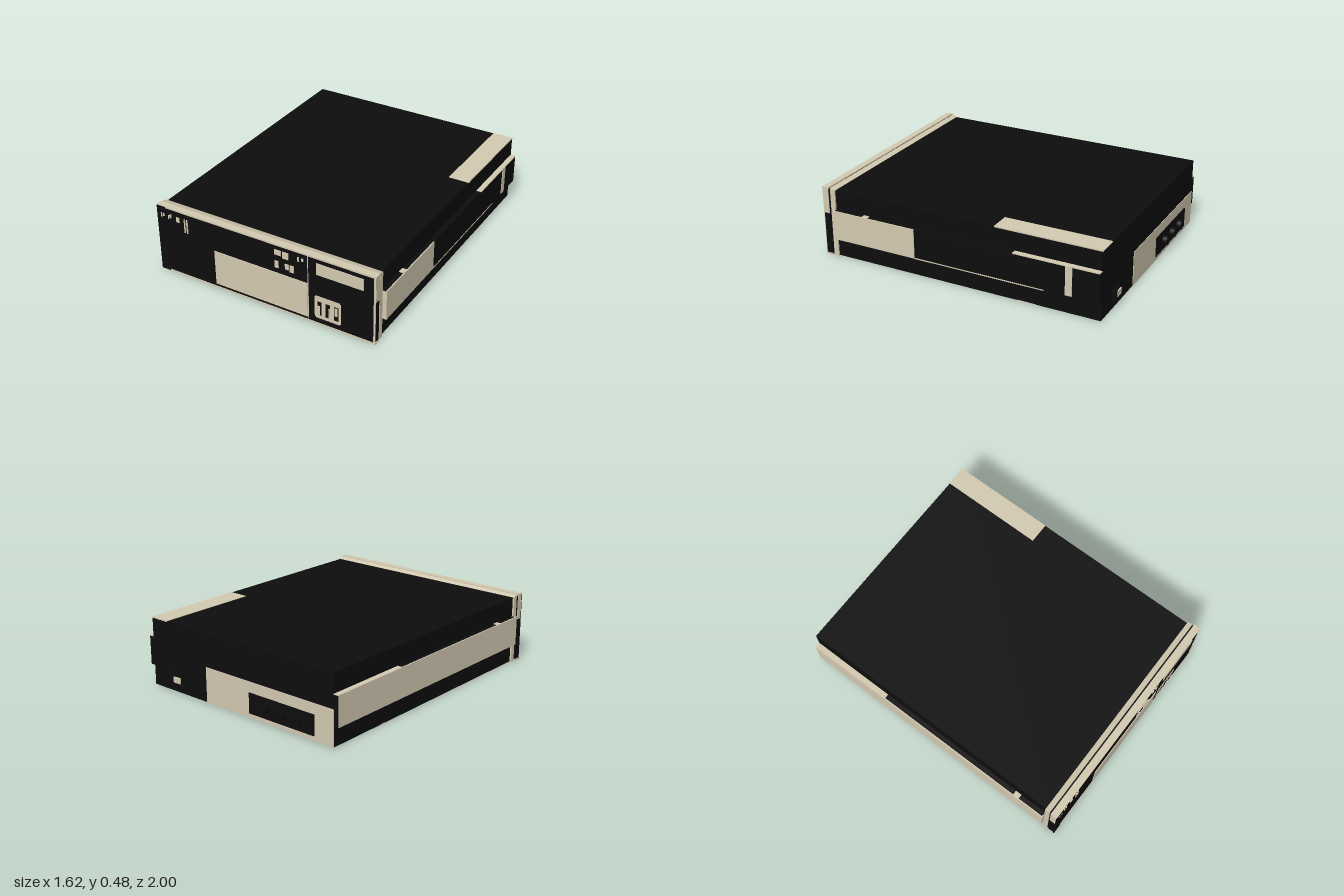
import * as THREE from 'three';

export function createModel() {
  const root = new THREE.Group();
  root.name = 'stereoComponent';
  const black = new THREE.MeshStandardMaterial({ color: 0x0d0d0d });
  black.name = 'black';
  const cream = new THREE.MeshStandardMaterial({ color: 0xd4cab2 });
  cream.name = 'cream';

  const add = (name, geometry, material, parent = root) => {
    const mesh = new THREE.Mesh(geometry, material);
    mesh.name = name;
    parent.add(mesh);
    return mesh;
  };
  // Box given by its limits on each axis
  const box = (name, mat, x0, x1, y0, y1, z0, z1, parent = root) => {
    const mesh = add(name, new THREE.BoxGeometry(x1 - x0, y1 - y0, z1 - z0), mat, parent);
    mesh.position.set((x0 + x1) / 2, (y0 + y1) / 2, (z0 + z1) / 2);
    return mesh;
  };

  // Chassis with its pale top and bottom patches
  box('chassis', black, -0.77, 0.77, 0.003, 0.465, -0.96, 0.91);
  box('topPatch', cream, 0.63, 0.771, 0.46, 0.468, -0.961, -0.25);
  box('bottomBand', cream, -0.77, 0.77, 0, 0.006, -0.53, -0.41);

  // Side rails
  for (const side of [-1, 1]) {
    const rail = new THREE.Group();
    rail.name = side > 0 ? 'leftRail' : 'rightRail';
    root.add(rail);
    const part = (name, mat, a, b, y0, y1, z0, z1) =>
      box(name, mat, Math.min(side * a, side * b), Math.max(side * a, side * b), y0, y1, z0, z1, rail);
    part('railBody', black, 0.76, 0.804, 0.135, 0.333, -0.96, 0.905);
    part('railFrontEnd', cream, 0.765, 0.804, 0.135, 0.333, 0.9, 0.908);
    part('railRearTop', cream, 0.765, 0.806, 0.33, 0.336, -0.96, side > 0 ? -0.39 : -0.37);
    const mark = side > 0 ? 0.65 : 0.675;
    part('railTopMark', cream, 0.765, 0.806, 0.33, 0.336, mark, mark + 0.043);
    if (side > 0) {
      part('railFrontPanel', cream, 0.8, 0.808, 0.135, 0.335, 0.3, 0.908);
      part('railRearStripe', cream, 0.8, 0.808, 0.14, 0.335, -0.785, -0.74);
      part('railLowerEdge', cream, 0.798, 0.806, 0.132, 0.139, -0.6, 0.3);
    } else {
      part('railPanel', cream, 0.8, 0.808, 0.135, 0.335, -0.958, 0.908);
    }
  }

  // Sloped collar behind the front panel
  const profile = new THREE.Shape([
    [-0.905, 0.002], [-0.94, 0.002], [-0.94, 0.478], [-0.905, 0.466],
  ].map(([x, y]) => new THREE.Vector2(x, y)));
  const collar = new THREE.ExtrudeGeometry(profile, { depth: 1.56, bevelEnabled: false });
  collar.rotateY(Math.PI / 2).translate(-0.78, 0, 0);
  add('collar', collar, cream);
  box('panelGap', black, -0.775, 0.775, 0.006, 0.472, 0.935, 0.955);

  // Front panel
  const front = new THREE.Group();
  front.name = 'frontPanel';
  root.add(front);
  const face = (name, mat, x0, x1, y0, y1, z1 = 0.999) => box(name, mat, x0, x1, y0, y1, 0.992, z1, front);
  box('panelBody', black, -0.782, 0.782, 0.01, 0.47, 0.95, 0.994, front);
  box('topTrim', cream, -0.785, 0.785, 0.469, 0.48, 0.95, 0.997, front);
  box('bottomTrim', cream, -0.785, 0.785, 0, 0.011, 0.95, 0.997, front);
  for (const s of [-1, 1]) {
    box('sideTrim', cream, s > 0 ? 0.78 : -0.785, s > 0 ? 0.785 : -0.78, 0.3, 0.472, 0.951, 0.993, front);
  }
  face('edgeTrim', cream, 0.771, 0.784, 0.005, 0.475, 0.996);
  face('cornerPlate', black, -0.785, -0.72, 0.002, 0.478, 0.998);
  face('divider', cream, 0.323, 0.328, 0.015, 0.468, 0.996);
  face('discDoor', cream, -0.355, 0.322, 0.03, 0.274);
  face('display', cream, 0.385, 0.704, 0.36, 0.44);

  // Rounded switch plate with three slots
  face('switchPlate', cream, 0.37, 0.552, 0.055, 0.2, 0.997);
  face('switchPlateEnds', cream, 0.377, 0.545, 0.047, 0.207, 0.9965);
  for (const x of [0.39, 0.448, 0.506]) face('switchSlot', black, x, x + 0.029, 0.073, 0.17, 0.9985);
  face('switchLever', cream, 0.393, 0.408, 0.073, 0.14, 1);
  face('switchLever', cream, 0.467, 0.477, 0.073, 0.145, 1);
  face('switchLever', cream, 0.511, 0.53, 0.105, 0.165, 1);

  // Small keys and marks: x0, x1, y0, y1
  for (const [x0, x1, y0, y1] of [
    [0.093, 0.14, 0.405, 0.44], [0.15, 0.193, 0.395, 0.44],
    [0.093, 0.12, 0.313, 0.36], [0.167, 0.193, 0.322, 0.36], [0.2, 0.228, 0.313, 0.36],
    [0.255, 0.267, 0.41, 0.44], [0.283, 0.297, 0.42, 0.438],
    [-0.755, -0.745, 0.4, 0.432], [-0.738, -0.726, 0.41, 0.432],
    [-0.7, -0.692, 0.4, 0.425], [-0.685, -0.675, 0.41, 0.435], [-0.636, -0.613, 0.395, 0.43],
    [-0.577, -0.569, 0.335, 0.432], [-0.559, -0.55, 0.335, 0.432],
  ]) face('key', cream, x0, x1, y0, y1, 1);

  // Rear plate, sockets and power inlet
  const rear = new THREE.Group();
  rear.name = 'rearPanel';
  root.add(rear);
  box('rearPlate', cream, -0.77, 0.28, 0.004, 0.24, -0.964, -0.957, rear);
  box('socketPlate', black, -0.625, -0.1, 0.035, 0.17, -0.971, -0.96, rear);
  for (const x of [-0.5, -0.367, -0.232]) {
    const socket = add('socket', new THREE.CylinderGeometry(0.033, 0.033, 0.04, 20), black, rear);
    socket.rotation.x = Math.PI / 2;
    socket.position.set(x, 0.103, -0.98);
  }
  const wedge = new THREE.Shape([
    [0.5, 0.955], [0.61, 0.955], [0.61, 0.985], [0.5, 0.965],
  ].map(([x, y]) => new THREE.Vector2(x, y)));
  const inlet = new THREE.ExtrudeGeometry(wedge, { depth: 0.07, bevelEnabled: false });
  inlet.rotateX(-Math.PI / 2).translate(0, 0.06, 0);
  add('powerInlet', inlet, black, rear);
  box('inletMark', cream, 0.51, 0.57, 0.07, 0.11, -0.981, -0.973, rear);

  return root;
}
